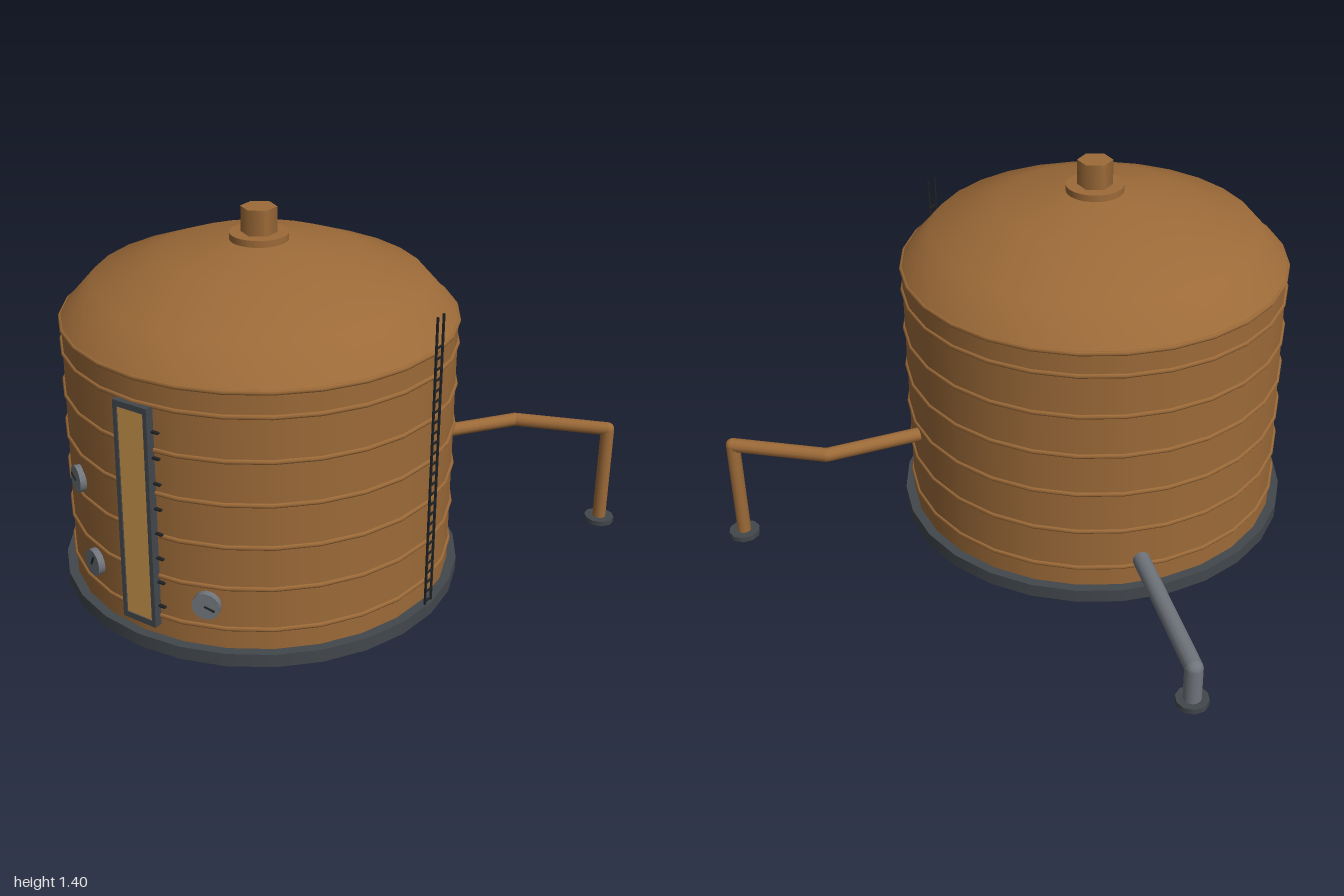
import * as THREE from 'three';

const mat = (name, color) => {
  const m = new THREE.MeshStandardMaterial({ color });
  m.name = name;
  return m;
};

export function createModel() {
  const rust = mat('rust brown', 0x9c6a38);
  const dark = mat('dark steel', 0x42474c);
  const grey = mat('pipe grey', 0x70757c);
  const black = mat('ladder black', 0x1f2326);
  const amber = mat('amber panel', 0xc8954a);

  const model = new THREE.Group();
  model.name = 'storageTank';
  const tank = new THREE.Group();
  tank.name = 'tank';
  tank.position.set(-0.036, 0, 0.14);
  model.add(tank);

  const add = (parent, name, geo, material, x = 0, y = 0, z = 0) => {
    const m = new THREE.Mesh(geo, material);
    m.name = name;
    m.position.set(x, y, z);
    parent.add(m);
    return m;
  };
  const box = (parent, name, w, h, d, material, x, y, z) =>
    add(parent, name, new THREE.BoxGeometry(w, h, d), material, x, y, z);

  // Base plate, wall and domed roof
  const SIDES = 28, R = 0.71;
  add(tank, 'basePlate', new THREE.CylinderGeometry(0.745, 0.745, 0.05, SIDES), dark, 0, 0.025, 0);
  add(tank, 'wall', new THREE.CylinderGeometry(R, R, 0.97, SIDES, 1, true), rust, 0, 0.535, 0);
  const roof = [[0.717, 1.015], [0.602, 1.145], [0.355, 1.24], [0.11, 1.285], [0, 1.29]];
  add(tank, 'roof', new THREE.LatheGeometry(roof.map(p => new THREE.Vector2(...p)), SIDES), rust);

  // Hoops around the wall
  for (const y of [0.13, 0.29, 0.45, 0.61, 0.77, 0.93, 1.016]) {
    const hoop = add(tank, 'hoop', new THREE.TorusGeometry(R, 0.009, 6, SIDES), rust, 0, y, 0);
    hoop.rotation.x = Math.PI / 2;
  }

  // Roof vent
  add(tank, 'ventFlange', new THREE.CylinderGeometry(0.106, 0.106, 0.03, 28), rust, 0, 1.295, 0);
  add(tank, 'ventCap', new THREE.CylinderGeometry(0.065, 0.065, 0.1, 6), rust, 0, 1.353, 0);

  // Level gauge on the front: frame, panel and tick marks
  const level = new THREE.Group();
  level.name = 'levelGauge';
  level.position.set(0, 0.512, 0.715);
  tank.add(level);
  for (const s of [-1, 1]) {
    box(level, 'frameSide', 0.016, 0.834, 0.04, dark, s * 0.063, 0, 0);
    box(level, 'frameEnd', 0.11, 0.022, 0.04, dark, 0, s * 0.406, 0);
  }
  box(level, 'levelPanel', 0.11, 0.79, 0.03, amber, 0, 0, 0);
  for (let i = 0; i < 8; i++)
    box(level, 'tick', 0.03, 0.007, 0.012, black, 0.083, -0.337 + i * 0.095, -0.005);

  // Round dials facing outward, each with a needle
  for (const [x, y, turn] of [[-0.334, 0.51, 2.75], [-0.245, 0.22, 1.1], [0.245, 0.22, -0.4]]) {
    const dial = new THREE.Group();
    dial.name = 'dial';
    const a = Math.asin(x / R);
    dial.position.set(x, y, R * Math.cos(a));
    dial.rotation.y = a;
    tank.add(dial);
    add(dial, 'dialBody', new THREE.CylinderGeometry(0.05, 0.05, 0.04, 16), grey).rotation.x = Math.PI / 2;
    const needle = new THREE.Group();
    needle.name = 'needle';
    needle.rotation.z = turn;
    dial.add(needle);
    box(needle, 'needleBar', 0.04, 0.006, 0.005, black, 0.015, 0, 0.022);
  }

  // Ladder on the left side
  const ladder = new THREE.Group();
  ladder.name = 'ladder';
  ladder.position.set(0.698, 0, 0.146);
  model.add(ladder);
  for (const s of [-1, 1]) box(ladder, 'rail', 0.007, 1.11, 0.007, black, 0, 0.605, s * 0.021);
  for (let i = 0; i < 26; i++) box(ladder, 'rung', 0.006, 0.006, 0.042, black, 0, 0.06 + i * 0.0395, 0);

  // Pipes: straight runs with ball joints and a flanged foot
  const pipe = (name, points, r, material) => {
    const g = new THREE.Group();
    g.name = name;
    model.add(g);
    const pts = points.map(p => new THREE.Vector3(...p));
    for (let i = 1; i < pts.length; i++) {
      const dir = pts[i].clone().sub(pts[i - 1]);
      const run = add(g, 'pipeRun', new THREE.CylinderGeometry(r, r, dir.length(), 12), material);
      run.position.copy(pts[i]).add(pts[i - 1]).multiplyScalar(0.5);
      run.quaternion.setFromUnitVectors(new THREE.Vector3(0, 1, 0), dir.normalize());
      if (i < pts.length - 1)
        add(g, 'pipeJoint', new THREE.SphereGeometry(r, 12, 8), material, ...points[i]);
    }
    const end = pts[pts.length - 1];
    add(g, 'footFlange', new THREE.CylinderGeometry(0.058, 0.058, 0.02, 10), dark, end.x, 0.01, end.z);
  };
  pipe('outletPipe', [[0.38, 0.408, -0.41], [0.6, 0.408, -0.71], [0.94, 0.408, -0.837], [0.94, 0.01, -0.837]], 0.026, rust);
  pipe('drainPipe', [[-0.51, 0.15, -0.345], [-0.942, 0.15, -0.77], [-0.942, 0.01, -0.77]], 0.032, grey);

  return model;
}
